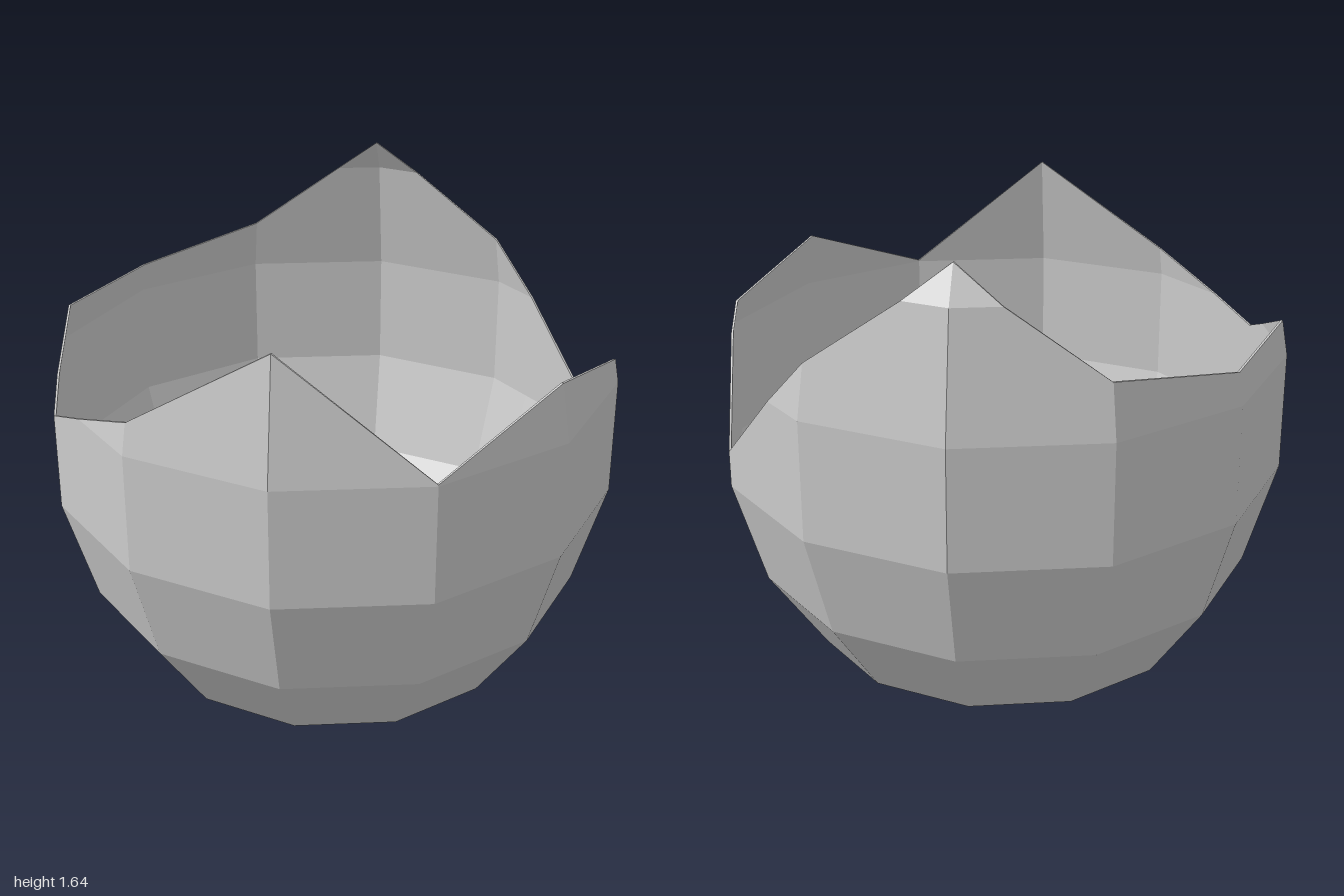
import * as THREE from 'three';

const SIDES = 12;
const WALL = 0.008;
// Rings of the shell: [height, radius]
const RINGS = [[0, 0.685], [0.3, 0.89], [0.68, 1], [1.1, 1], [1.52, 0.925], [1.64, 0.852]];
// Broken rim height at each corner, from the front (+z) towards +x and around
const RIM = [1.52, 1.105, 1.3, 1.185, 0.81, 1.285, 1.64, 1.285, 1.21, 1.225, 1.03, 1.21];

const lerp = THREE.MathUtils.lerp;

function radiusAt(y) {
  let k = 1;
  while (k < RINGS.length - 1 && y > RINGS[k][0]) k++;
  const [y0, r0] = RINGS[k - 1], [y1, r1] = RINGS[k];
  return lerp(r0, r1, (y - y0) / (y1 - y0));
}

// Point on flat panel i, at fraction u across it and height y
function wallPoint(i, u, y, inset) {
  const a = (i / SIDES) * Math.PI * 2, b = ((i + 1) / SIDES) * Math.PI * 2;
  const r = radiusAt(y) - inset;
  return new THREE.Vector3(
    lerp(Math.sin(a), Math.sin(b), u) * r,
    Math.max(y, inset),
    lerp(Math.cos(a), Math.cos(b), u) * r
  );
}

function facetMesh(name, positions, material) {
  const geometry = new THREE.BufferGeometry();
  geometry.setAttribute('position', new THREE.Float32BufferAttribute(positions, 3));
  geometry.computeVertexNormals();
  const mesh = new THREE.Mesh(geometry, material);
  mesh.name = name;
  return mesh;
}

export function createModel() {
  const group = new THREE.Group();
  group.name = 'brokenShell';
  const material = new THREE.MeshStandardMaterial({ color: 0xcccccc, flatShading: true, side: THREE.DoubleSide });
  const outer = [], inner = [], rim = [];

  const addTri = (out, a, b, c) => {
    const area = b.clone().sub(a).cross(c.clone().sub(a)).length();
    if (area > 1e-7) for (const p of [a, b, c]) out.push(p.x, p.y, p.z);
  };
  const addQuad = (out, a, b, c, d) => {
    addTri(out, a, b, c);
    addTri(out, a, c, d);
  };

  for (let i = 0; i < SIDES; i++) {
    const h0 = RIM[i], h1 = RIM[(i + 1) % SIDES];
    // Split the panel where the broken edge crosses a ring
    const stops = [0, 1];
    for (const [y] of RINGS) {
      const u = (y - h0) / (h1 - h0);
      if (u > 0.001 && u < 0.999) stops.push(u);
    }
    stops.sort((a, b) => a - b);

    for (let s = 0; s < stops.length - 1; s++) {
      const u0 = stops[s], u1 = stops[s + 1];
      const top0 = lerp(h0, h1, u0), top1 = lerp(h0, h1, u1);

      // Outer and inner walls, band by band, cut off at the broken edge
      for (let k = 0; k < RINGS.length - 1; k++) {
        const low = RINGS[k][0], high = RINGS[k + 1][0];
        const corners = (inset) => [
          wallPoint(i, u0, Math.min(low, top0), inset),
          wallPoint(i, u1, Math.min(low, top1), inset),
          wallPoint(i, u1, Math.min(high, top1), inset),
          wallPoint(i, u0, Math.min(high, top0), inset)
        ];
        addQuad(outer, ...corners(0));
        addQuad(inner, ...corners(WALL).reverse());
      }

      // Thin broken edge joining the two walls
      addQuad(rim, wallPoint(i, u0, top0, 0), wallPoint(i, u1, top1, 0),
        wallPoint(i, u1, top1, WALL), wallPoint(i, u0, top0, WALL));
    }
  }

  group.add(
    facetMesh('outerWall', outer, material),
    facetMesh('innerWall', inner, material),
    facetMesh('brokenRim', rim, material)
  );

  // Flat base, seen from below and from inside
  const base = new THREE.Mesh(new THREE.CircleGeometry(RINGS[0][1], SIDES), material);
  base.name = 'base';
  base.rotation.x = Math.PI / 2;
  const floor = new THREE.Mesh(new THREE.CircleGeometry(RINGS[0][1] - WALL, SIDES), material);
  floor.name = 'innerFloor';
  floor.rotation.x = -Math.PI / 2;
  floor.position.y = WALL;
  group.add(base, floor);

  return group;
}
